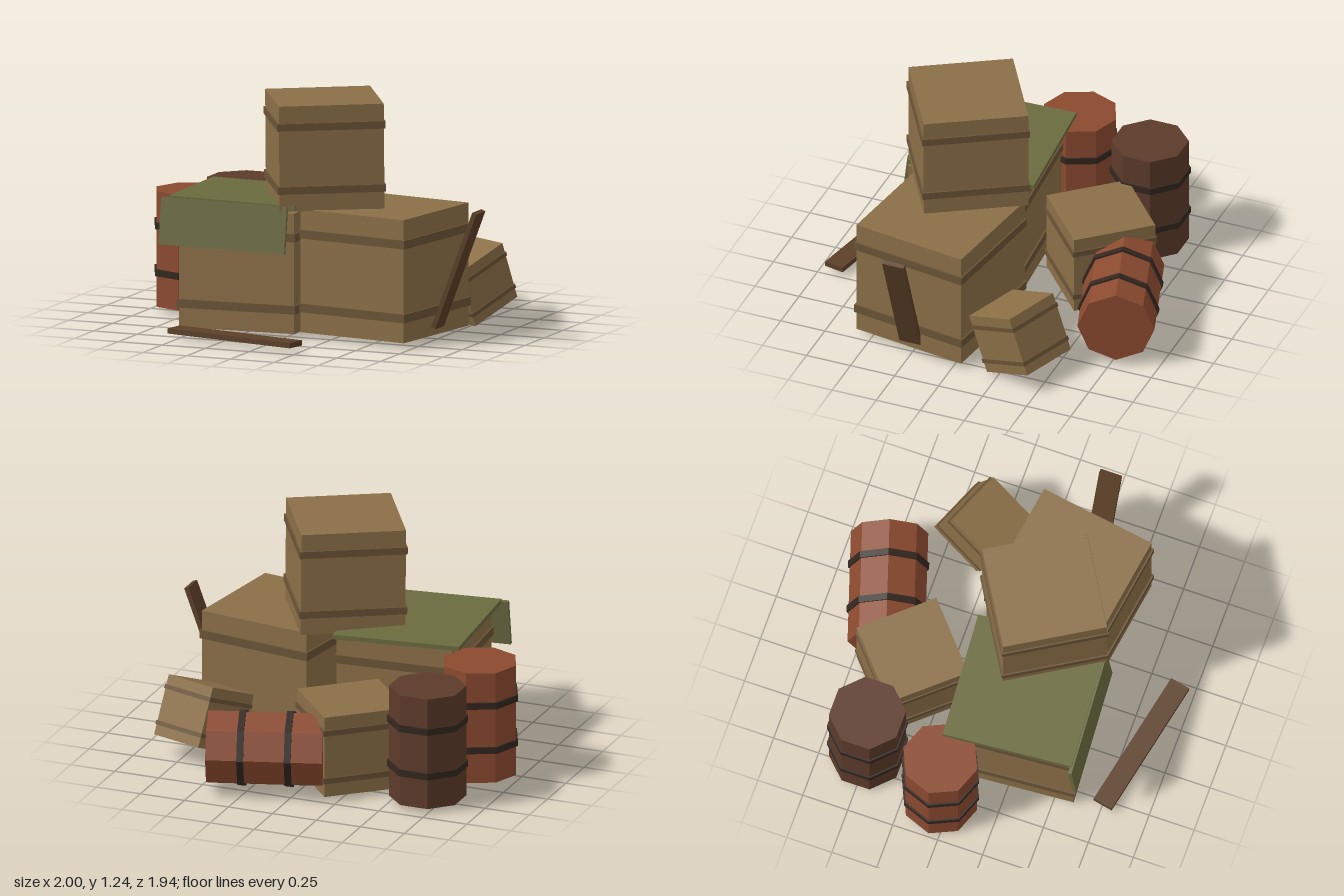
import * as THREE from 'three';

const material = (color) => new THREE.MeshStandardMaterial({ color, flatShading: true });
const wood = material(0x8b6f47), strap = material(0x6b5436), plankWood = material(0x5c4028);
const redStave = material(0x8b4a2f), darkStave = material(0x5c3a2a), iron = material(0x33261f);
const canvas = material(0x6b6b3f);

function part(name, geometry, mat, y = 0) {
  const mesh = new THREE.Mesh(geometry, mat);
  mesh.name = name;
  mesh.position.y = y;
  return mesh;
}

// Places an object; yaw is applied outermost
function place(object, name, position, rotation = [0, 0, 0]) {
  object.name = name;
  object.position.set(...position);
  object.rotation.set(...rotation, 'YXZ');
  return object;
}

// Crate body with two straps running around it
function crate(width, height) {
  const group = new THREE.Group();
  group.add(part('crateBody', new THREE.BoxGeometry(width, height, width), wood));
  for (const side of [-1, 1]) {
    const band = new THREE.BoxGeometry(width * 1.03, height * 0.07, width * 1.03);
    group.add(part('crateStrap', band, strap, side * height * 0.3));
  }
  return group;
}

// Eight-sided barrel with two hoops
function barrel(mat) {
  const group = new THREE.Group();
  group.add(part('barrelBody', new THREE.CylinderGeometry(0.203, 0.203, 0.615, 8), mat));
  for (const side of [-1, 1]) {
    group.add(part('barrelHoop', new THREE.CylinderGeometry(0.213, 0.213, 0.036, 8), iron, side * 0.125));
  }
  return group;
}

export function createModel() {
  const model = new THREE.Group();
  model.name = 'cargoPile';

  // Crates
  model.add(
    place(crate(0.64, 0.655), 'rightCrate', [0.435, 0.3575, 0.225], [0, -0.15, 0]),
    place(crate(0.64, 0.64), 'leftCrate', [-0.277, 0.35, 0.265], [0, 0.07, 0]),
    place(crate(0.555, 0.56), 'topCrate', [0.088, 0.962, 0.21], [0, 0.54, 0.008]),
    place(crate(0.45, 0.445), 'backCrate', [-0.207, 0.2525, -0.42], [0, 0.72, 0]),
    place(crate(0.325, 0.325), 'tippedCrate', [0.67, 0.22, -0.325], [0.38, -0.4, -0.04]),
  );

  // Barrels: two standing, one on its side
  model.add(
    place(barrel(redStave), 'leftBarrel', [-0.787, 0.3375, -0.06], [0, 0.03, 0]),
    place(barrel(darkStave), 'backBarrel', [-0.675, 0.3375, -0.505], [0, Math.PI / 8, 0]),
    place(barrel(redStave), 'fallenBarrel', [0.163, 0.235, -0.687], [0, 0.31, Math.PI / 2]),
  );

  // Canvas cover with a hanging front flap
  const sheet = part('coverSheet', new THREE.BoxGeometry(0.7, 0.025, 0.7), canvas);
  const flap = part('coverFlap', new THREE.BoxGeometry(0.7, 0.25, 0.02), canvas);
  model.add(
    place(sheet, 'coverSheet', [-0.305, 0.7, 0.24], [-0.02, 0.07, -0.025]),
    place(flap, 'coverFlap', [-0.32, 0.588, 0.608], [-0.12, 0.07, -0.02]),
  );

  // Loose planks
  const plank = part('plank', new THREE.BoxGeometry(0.785, 0.028, 0.11), plankWood);
  const leaning = part('plank', new THREE.BoxGeometry(0.025, 0.67, 0.12), plankWood);
  model.add(
    place(plank, 'groundPlank', [-0.155, 0.044, 0.835], [0, -0.205, 0]),
    place(leaning, 'leaningPlank', [0.872, 0.383, 0.26], [0, 0, -0.36]),
  );
  return model;
}
